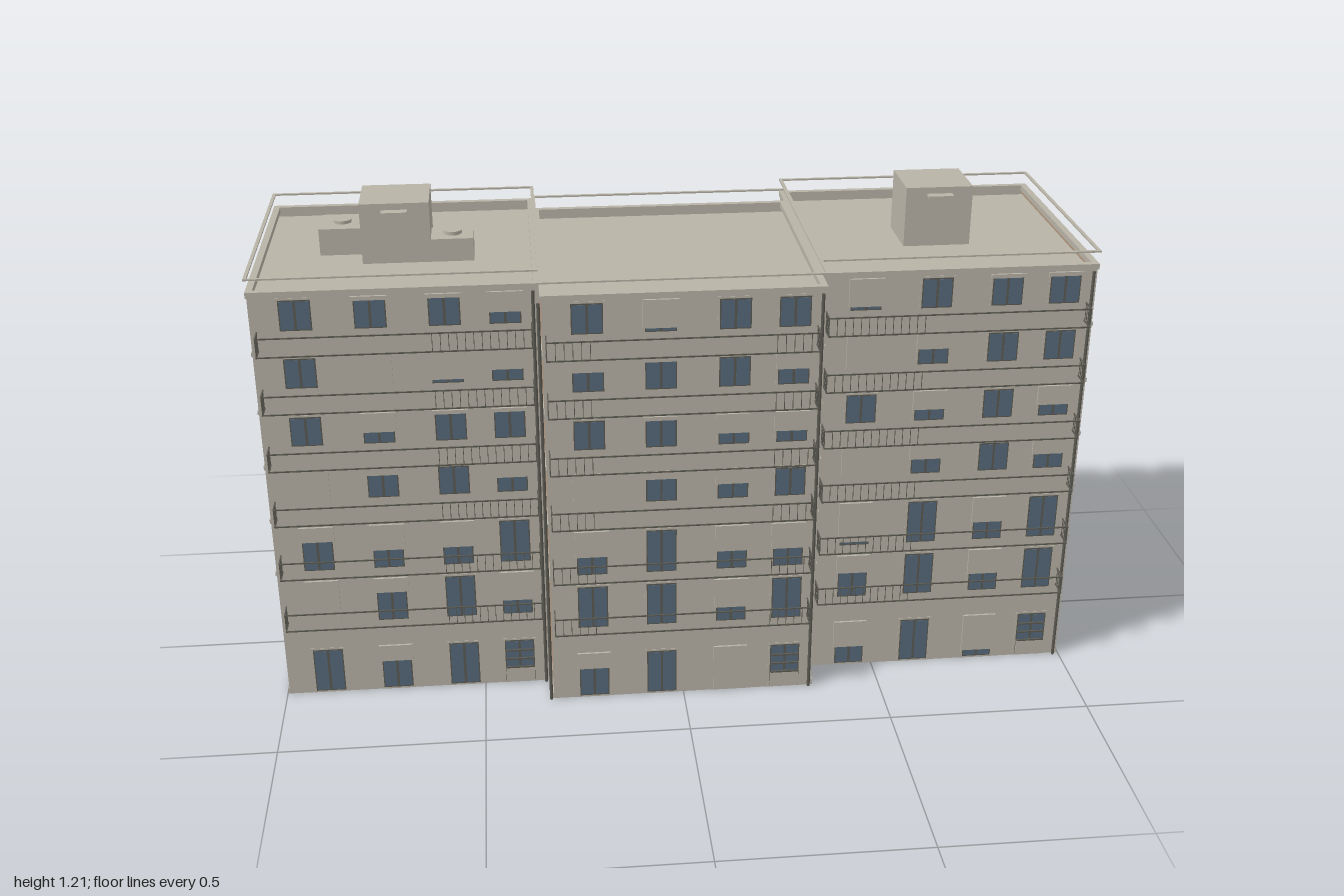
import * as THREE from 'three';
import { mergeGeometries } from 'three/addons/utils/BufferGeometryUtils.js';

const paint = (name, color) => Object.assign(new THREE.MeshStandardMaterial({ color }), { name });

export function createModel() {
  const mats = {
    concrete: paint('concrete', 0xb8b3a6),
    brick: paint('brick', 0xb3977f),
    glass: paint('glass', 0x566a7a),
    metal: paint('dark metal', 0x5c5a52),
  };
  const model = new THREE.Group();
  const parts = new Map();

  // Collects boxes given by their ranges; each part becomes one merged mesh
  function box(part, mat, x0, x1, y0, y1, z0, z1) {
    const g = new THREE.BoxGeometry(x1 - x0, y1 - y0, z1 - z0);
    g.translate((x0 + x1) / 2, (y0 + y1) / 2, (z0 + z1) / 2);
    add(part, mat, g);
  }
  function add(part, mat, g) {
    if (!parts.has(part)) parts.set(part, { mat, list: [] });
    parts.get(part).list.push(g);
  }
  // Box on a wall facing x or z: u runs along the wall, d is the wall plane
  function onWall(part, mat, axis, d, u0, u1, y0, y1, t) {
    if (axis === 'x') box(part, mat, d - t, d + t, y0, y1, u0, u1);
    else box(part, mat, u0, u1, y0, y1, d - t, d + t);
  }
  // Frame and two panes, showing on both faces of the wall
  function window2(axis, d, u, y0, y1, w, dark) {
    const h = w / 2, m = 0.005;
    onWall('windowSurrounds', mats.concrete, axis, d, u - h - m, u + h + m, y0 - m, y1 + m, 0.004);
    onWall('windowFrames', mats.metal, axis, d, u - h, u + h, y0, y1, 0.005);
    for (const s of [-1, 1])
      onWall('windowPanes', mats.glass, axis, d, u + s * h * 0.5 - h * 0.42, u + s * h * 0.5 + h * 0.42,
        y0 + 0.003, y1 - 0.003, 0.006);
    if (!dark) onWall('windowMullions', mats.concrete, axis, d, u - 0.002, u + 0.002, y0, y1, 0.0065);
  }
  // Rectangular ring with an open middle
  function ring(part, mat, x0, x1, z0, z1, y0, y1, w) {
    box(part, mat, x0, x1, y0, y1, z0, z0 + w);
    box(part, mat, x0, x1, y0, y1, z1 - w, z1);
    box(part, mat, x0, x0 + w, y0, y1, z0 + w, z1 - w);
    box(part, mat, x1 - w, x1, y0, y1, z0 + w, z1 - w);
  }

  const H = 1.09, T = 0.006;
  const bands = [0.355, 0.5, 0.645, 0.79, 0.938];
  const rowY = [0.09, 0.295, 0.44, 0.585, 0.735, 0.88, 1.025];
  const blocks = [
    { x0: -0.995, x1: -0.33, z0: -0.378, z1: 0.25, back: [0.2, 0.5, 0.8], wing: true },
    { x0: -0.328, x1: 0.328, z0: -0.295, z1: 0.335, back: [0.15, 0.48, 0.85] },
    { x0: 0.33, x1: 0.995, z0: -0.378, z1: 0.25, back: [0.2, 0.5, 0.8], wing: true },
  ];

  for (const { x0, x1, z0, z1, back, wing } of blocks) {
    // Open-bottomed shell with brick end walls
    box('frontWalls', mats.concrete, x0, x1, 0.005, H, z1 - T, z1);
    box('backWalls', mats.concrete, x0, x1, 0.005, H, z0, z0 + T);
    for (const [a, s] of [[x0, 1], [x1, -1]])
      box('endWalls', mats.brick, Math.min(a, a + s * T), Math.max(a, a + s * T), 0.005, H - 0.01, z0 + 0.001, z1 - 0.001);

    // Roof deck, parapet cap and floating rail
    box('roofDecks', mats.concrete, x0 + T, x1 - T, 1.055, 1.065, z0 + T, z1 - T);
    ring('parapetCaps', mats.concrete, x0 - 0.003, x1 + 0.003, z0 - 0.003, z1 + 0.003, H - 0.012, H + 0.002, 0.016);
    ring('roofRails', mats.concrete, x0 - 0.004, x1 + 0.004, z0 - 0.004, z1 + 0.004, 1.121, 1.125, 0.008);

    // Plinth and storey bands on the ends and back
    for (const [y, h] of [[0.0125, 0.0075], ...bands.map((b) => [b, 0.005])]) {
      for (const x of [x0, x1])
        box('storeyBands', mats.concrete, x - 0.003, x + 0.003, y - h, y + h, z0 - 0.002, z1);
      box('storeyBands', mats.concrete, x0, x1, y - h, y + h, z0 - 0.003, z0);
    }

    // Back and end windows
    for (const y of rowY) {
      for (const f of back) window2('z', z0 + T / 2, x0 + f * (x1 - x0), y - 0.03, y + 0.03, 0.06);
      if (wing)
        for (const x of [x0 + T / 2, x1 - T / 2])
          for (const z of [0.075, -0.198]) window2('x', x, z, y - 0.031, y + 0.031, 0.062);
    }
  }

  // Front windows: base, top, and open height (hundredths) below each lowered blind
  const columns = [-0.89, -0.72, -0.55, -0.41, -0.225, -0.055, 0.118, 0.257, 0.44, 0.61, 0.78, 0.92];
  const rows = [
    [0.01, 0.13, [12, 8, 12, 12, 8, 12, 0, 12, 5, 12, 2, 12]],
    [0.21, 0.325, [0, 8, 12, 4, 12, 12, 4, 12, 7, 12, 5, 12]],
    [0.36, 0.475, [8, 5, 5, 12, 5, 12, 5, 5, 1, 12, 5, 12]],
    [0.555, 0.63, [0, 6, 8, 4, 0, 6, 4, 8, 0, 4, 8, 4]],
    [0.7, 0.775, [8, 3, 7, 7, 8, 7, 3, 3, 8, 3, 8, 3]],
    [0.85, 0.925, [8, 0, 1, 3, 5, 7, 8, 4, 0, 4, 8, 8]],
    [0.995, 1.07, [8, 7, 7, 3, 8, 1, 8, 8, 1, 8, 7, 7]],
  ];
  rows.forEach(([y0, y1, open], r) => columns.forEach((x, i) => {
    const z = (Math.abs(x) < 0.33 ? 0.335 : 0.25) - T / 2;
    window2('z', z, x, y0, y1, 0.074, true);
    const edge = y0 + open[i] / 100;
    if (edge < y1 - 0.003)
      box('rollerBlinds', mats.concrete, x - 0.042, x + 0.042, edge, y1 + 0.005, z, z + 0.0085);
    // Ground-floor guard on every fourth opening
    if (r === 0 && i % 4 === 3) {
      box('doorPanels', mats.concrete, x - 0.036, x + 0.036, y0, 0.05, z, z + 0.008);
      for (const y of [0.05, 0.075, 0.1])
        box('doorGuards', mats.metal, x - 0.035, x + 0.035, y, y + 0.004, z, z + 0.01);
    }
  }));

  // Balcony railings: frame all round, bars on the ends and on part of the front
  const balconies = [
    { x0: -0.98, x1: -0.35, z: 0.25, bars: [[-0.58, -0.35]] },
    { x0: -0.32, x1: 0.31, z: 0.335, bars: [[-0.32, -0.22], [0.21, 0.31]] },
    { x0: 0.345, x1: 0.975, z: 0.25, bars: [[0.345, 0.575]] },
  ];
  const t = 0.0015;
  for (const { x0, x1, z, bars } of balconies)
    for (const y of [0.215, 0.36, 0.508, 0.655, 0.803, 0.948]) {
      const top = y + 0.046, zf = z + 0.046;
      for (const v of [y, top]) {
        box('balconyRails', mats.metal, x0, x1, v - t, v + t, zf - 2 * t, zf);
        for (const x of [x0, x1])
          box('balconyRails', mats.metal, x - t, x + t, v - t, v + t, z, zf);
      }
      for (const x of [x0, x1])
        for (let k = 0; k <= 4; k++)
          box('balconyBars', mats.metal, x - t / 2, x + t / 2, y, top, z + 0.005 + k * 0.01 - t / 2, z + 0.005 + k * 0.01 + t / 2);
      for (const [a, b] of bars) {
        const n = Math.round((b - a) / 0.019);
        for (let k = 0; k <= n; k++) {
          const x = a + ((b - a) * k) / n;
          box('balconyBars', mats.metal, x - t / 2, x + t / 2, y, top, zf - t * 1.5, zf - t / 2);
        }
      }
    }

  // Downpipes
  for (const [x, z] of [[-0.345, 0.256], [-0.335, 0.338], [0.32, 0.34], [0.335, 0.256], [0.985, 0.256]])
    add('downpipes', mats.metal, new THREE.CylinderGeometry(0.004, 0.004, 1.07, 8).translate(x, 0.54, z));

  // Rooftop huts with door canopies
  for (const x of [-0.665, 0.662]) {
    box('roofHuts', mats.concrete, x - 0.083, x + 0.083, 1.06, 1.215, -0.14, 0.01);
    box('hutCanopies', mats.concrete, x - 0.031, x + 0.031, 1.193, 1.199, 0.01, 0.033);
  }
  // Low plant boxes with round vents
  box('plantBoxes', mats.concrete, -0.855, -0.71, 1.06, 1.132, -0.173, -0.06);
  box('plantBoxes', mats.concrete, -0.582, -0.48, 1.06, 1.122, -0.08, 0.01);
  for (const [x, y, z] of [[-0.8, 1.134, -0.115], [-0.53, 1.125, -0.035]])
    add('roofVents', mats.concrete, new THREE.CylinderGeometry(0.022, 0.022, 0.012, 16).translate(x, y, z));

  for (const [name, { mat, list }] of parts) {
    const mesh = new THREE.Mesh(mergeGeometries(list), mat);
    mesh.name = name;
    model.add(mesh);
  }
  model.name = 'apartmentBlock';
  return model;
}
